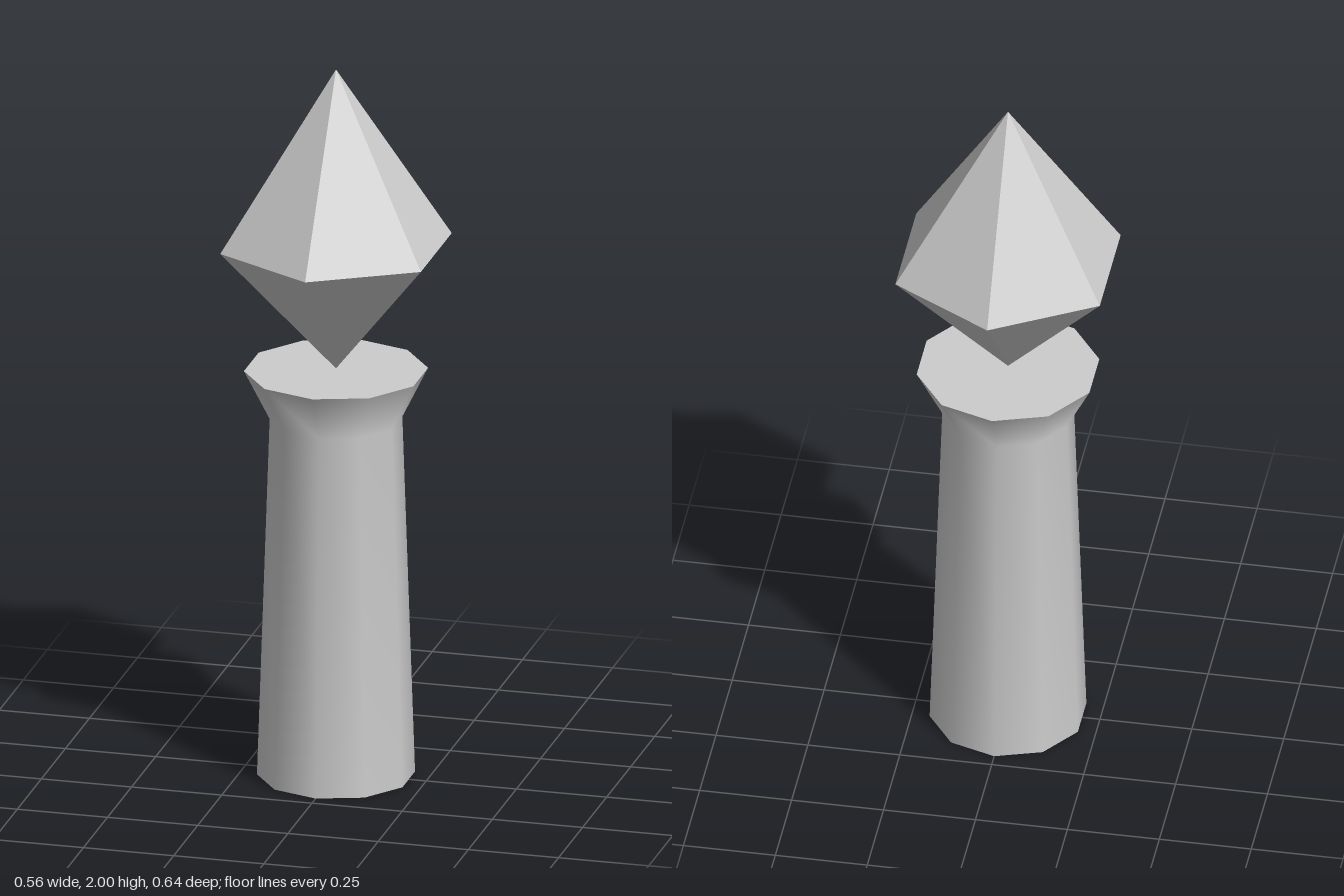
import * as THREE from 'three';

const stone = new THREE.MeshStandardMaterial({ color: 0xcccccc });
stone.name = 'light grey';
const facetted = new THREE.MeshStandardMaterial({ color: 0xcccccc, flatShading: true });
facetted.name = 'light grey facets';

const SIDES = 10;

function add(parent, name, geometry, material, y = 0) {
  const mesh = new THREE.Mesh(geometry, material);
  mesh.name = name;
  mesh.position.y = y;
  parent.add(mesh);
}

export function createModel() {
  const model = new THREE.Group();
  model.name = 'crystalPillar';

  // Tapered column that flares into a wide rim
  const pillar = new THREE.Group();
  pillar.name = 'pillar';
  const profile = [[0.212, 0], [0.178, 1.01], [0.247, 1.147]].map(([r, y]) => new THREE.Vector2(r, y));
  add(pillar, 'column', new THREE.LatheGeometry(profile, SIDES), stone);

  // Flat ends, corners lined up with the column
  const disc = (r, turn) => new THREE.CircleGeometry(r, SIDES, Math.PI / 2).rotateX(turn);
  add(pillar, 'topCap', disc(0.247, -Math.PI / 2), stone, 1.147);
  add(pillar, 'bottomCap', disc(0.212, Math.PI / 2), stone);

  // Six-sided crystal balanced on its lower point
  const crystal = new THREE.Group();
  crystal.name = 'crystal';
  const [low, girdle, tip, radius] = [1.15, 1.505, 2, 0.321];
  add(crystal, 'crystalTop',
    new THREE.CylinderGeometry(0, radius, tip - girdle, 6, 1, true), facetted, (tip + girdle) / 2);
  add(crystal, 'crystalBottom',
    new THREE.CylinderGeometry(radius, 0, girdle - low, 6, 1, true), facetted, (girdle + low) / 2);

  model.add(pillar, crystal);
  return model;
}
